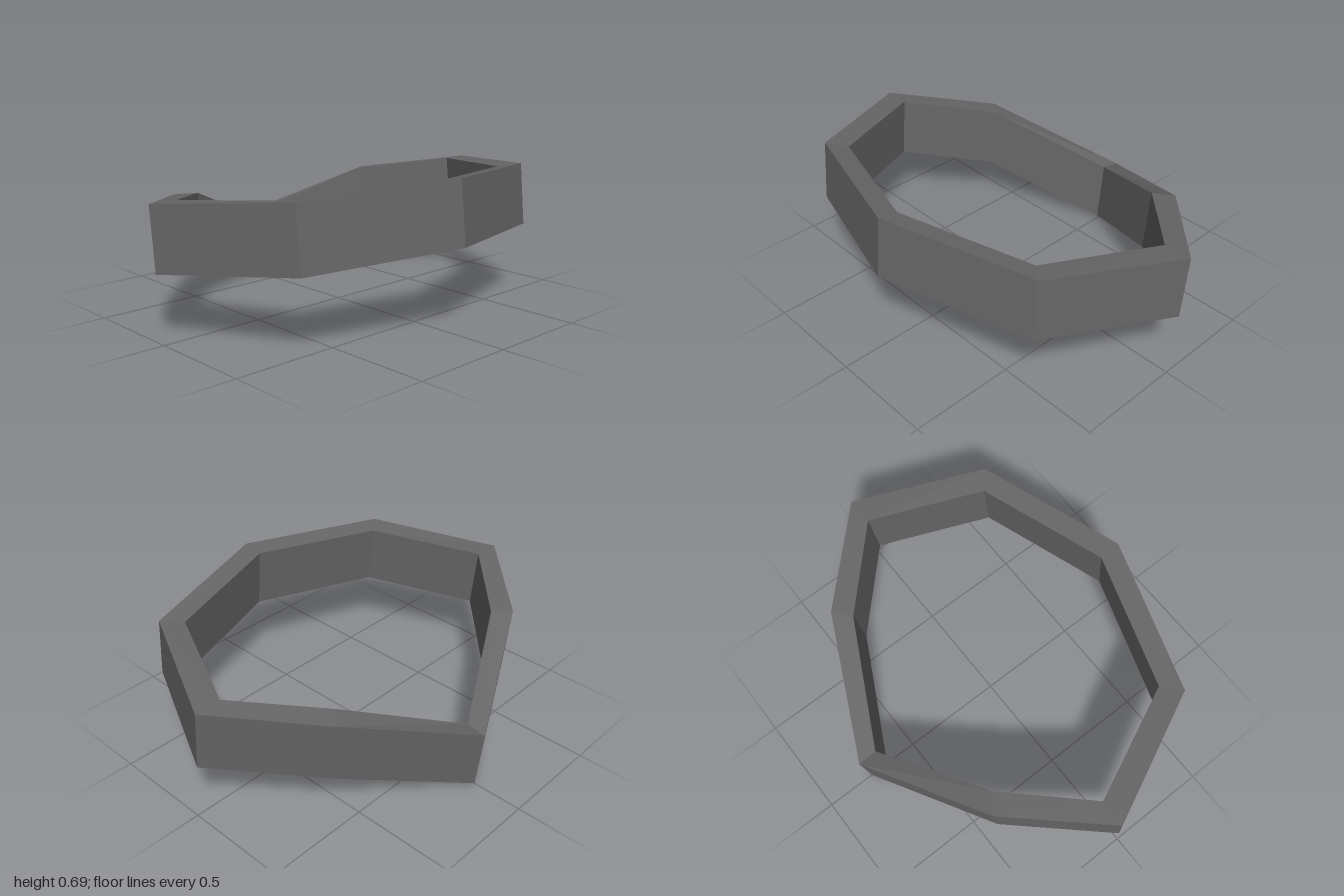
import * as THREE from 'three';

export function createModel() {
  const darkGrey = new THREE.MeshStandardMaterial({ color: 0x666666, flatShading: true });

  // Top edge corners from front to back along the left side
  const outer = [[0, 0.695, 0.755], [0.72, 0.655, 0.53], [1, 0.6, -0.07], [0.615, 0.535, -0.472], [0, 0.3, -0.785]];
  const inner = [[0, 0.675, 0.655], [0.632, 0.641, 0.457], [0.868, 0.6, -0.066], [0.53, 0.541, -0.403], [0, 0.315, -0.69]];
  // The band leans: its lower edge sits slightly forward
  const lower = ([x, y, z]) => [x, y - 0.295, z + 0.03];
  const mirror = ([x, y, z]) => [-x, y, z];

  // Cross-sections: outer bottom, outer top, inner top, inner bottom
  const half = outer.map((o, i) => [lower(o), o, inner[i], lower(inner[i])]);
  const ring = [...half, ...half.slice(1, -1).reverse().map((s) => s.map(mirror))];

  // Join neighbouring sections with quads, all the way round
  const positions = [];
  ring.forEach((s, i) => {
    const n = ring[(i + 1) % ring.length];
    for (let j = 0; j < 4; j++) {
      const k = (j + 1) % 4;
      positions.push(...s[j], ...n[j], ...n[k], ...s[j], ...n[k], ...s[k]);
    }
  });
  const geometry = new THREE.BufferGeometry();
  geometry.setAttribute('position', new THREE.Float32BufferAttribute(positions, 3));
  geometry.computeVertexNormals();

  darkGrey.name = 'darkGrey';
  const band = new THREE.Mesh(geometry, darkGrey);
  band.name = 'angularBand';
  const group = new THREE.Group();
  group.name = 'angularRing';
  group.add(band);
  return group;
}
